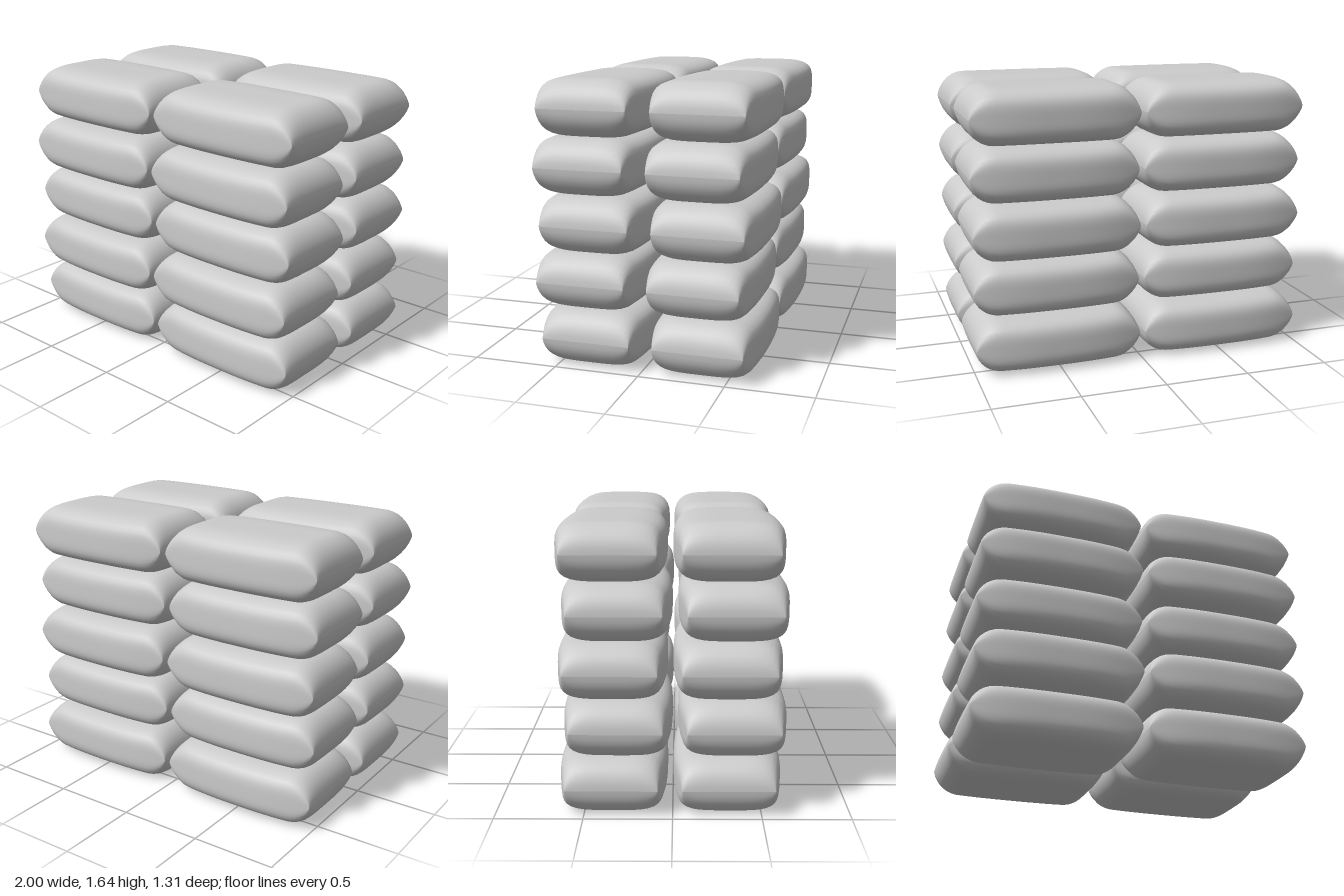
import * as THREE from 'three';

const HALF_LENGTH = 0.49, HALF_DEPTH = 0.312, HALF_HEIGHT = 0.163;

// Pillow-shaped sack: squared-off oval sections along x, pinched flat into a seam at both ends
function sackGeometry(stations = 32, sides = 56) {
  const positions = [], indices = [];
  for (let i = 0; i <= stations; i++) {
    // stations crowd towards the rounded ends
    const x = HALF_LENGTH * Math.sin((i / stations - 0.5) * Math.PI);
    const t = Math.abs(x) / HALF_LENGTH;
    const depth = HALF_DEPTH - 0.052 * t ** 2.6;
    const round = Math.max(0, (t - 0.7) / 0.3);
    const height = HALF_HEIGHT * Math.sqrt(Math.max(0, 1 - round * round));
    for (let j = 0; j < sides; j++) {
      const a = (j / sides) * Math.PI * 2;
      const c = Math.cos(a), s = Math.sin(a);
      const r = 1 / (c ** 4 + s ** 4) ** 0.25;
      positions.push(x, height * s * r, depth * c * r);
    }
  }
  for (let i = 0; i < stations; i++) {
    for (let j = 0; j < sides; j++) {
      const k = (j + 1) % sides;
      const a = i * sides + j, b = a + sides;
      const d = i * sides + k, e = d + sides;
      indices.push(a, b, d, b, e, d);
    }
  }
  const geometry = new THREE.BufferGeometry();
  geometry.setAttribute('position', new THREE.Float32BufferAttribute(positions, 3));
  geometry.setIndex(indices);
  geometry.computeVertexNormals();
  return geometry;
}

export function createModel() {
  const model = new THREE.Group();
  model.name = 'sackStack';
  const material = new THREE.MeshStandardMaterial({ color: 0xcccccc });
  const geometry = sackGeometry();

  // Five layers of four sacks, alternate layers shifted and turned around
  for (let row = 0; row < 5; row++) {
    const layer = new THREE.Group();
    layer.name = `layer${row + 1}`;
    const odd = row % 2;
    layer.position.set(0, HALF_HEIGHT + row * 0.3295, odd ? 0.014 : -0.014);
    layer.rotation.y = odd ? Math.PI : 0;
    for (const x of [-0.508, 0.508]) {
      for (const z of [-0.328, 0.328]) {
        const sack = new THREE.Mesh(geometry, material);
        sack.name = 'sack';
        sack.position.set(x, 0, z);
        layer.add(sack);
      }
    }
    model.add(layer);
  }
  return model;
}
